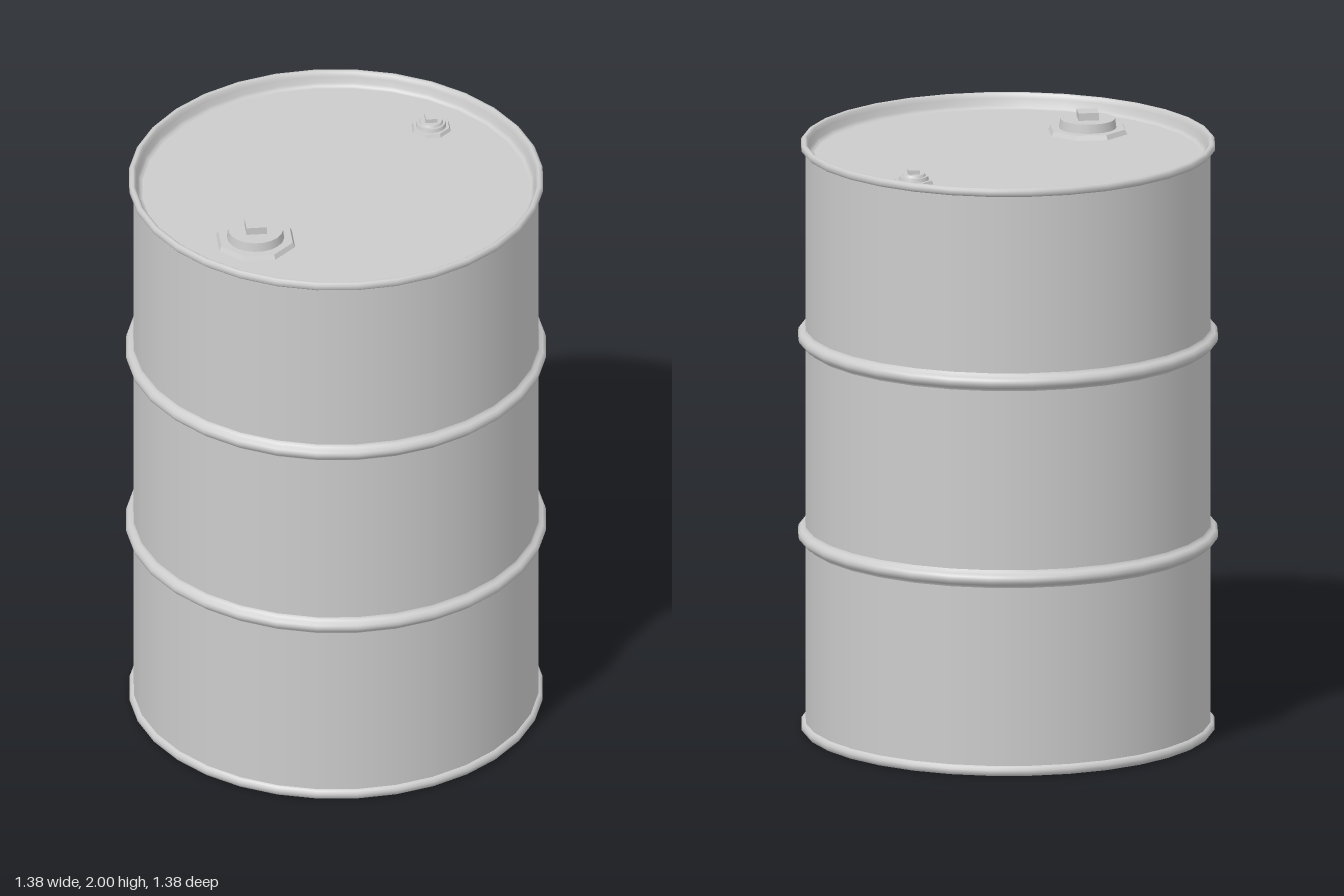
import * as THREE from 'three';

const SIDES = 32;
const BODY = 0.665;
const material = new THREE.MeshStandardMaterial({ color: 0xcccccc, side: THREE.DoubleSide });
const flatMaterial = new THREE.MeshStandardMaterial({ color: 0xcccccc, flatShading: true });

// Turned part from [radius, height] pairs
function turned(name, pairs, sides = SIDES) {
  const points = pairs.map(([r, y]) => new THREE.Vector2(r, y));
  const mesh = new THREE.Mesh(new THREE.LatheGeometry(points, sides), material);
  mesh.name = name;
  return mesh;
}

// Short prism or disc standing on height y
function prism(name, rTop, rBottom, y, height, sides, turn = 0) {
  const geometry = new THREE.CylinderGeometry(rTop, rBottom, height, sides);
  geometry.rotateY(turn);
  geometry.translate(0, y + height / 2, 0);
  const mesh = new THREE.Mesh(geometry, sides > 8 ? material : flatMaterial);
  mesh.name = name;
  return mesh;
}

// Rounded bulge around the wall at height y
function hoop(y) {
  const pairs = [[BODY, y - 0.03]];
  for (let i = 0; i <= 6; i++) {
    const a = -Math.PI / 2 + (i / 6) * Math.PI;
    pairs.push([BODY + 0.004 + 0.021 * Math.cos(a), y + 0.021 * Math.sin(a)]);
  }
  pairs.push([BODY, y + 0.03]);
  return turned('rollingHoop', pairs);
}

export function createModel() {
  const drum = new THREE.Group();
  drum.name = 'drum';
  const lidY = 1.93;
  const hoopHeights = [0.663, 1.326];

  // Wall sections between the hoops
  const levels = [0.03, ...hoopHeights, 1.955];
  for (let i = 0; i < 3; i++) {
    const low = levels[i] + (i > 0 ? 0.03 : 0);
    const high = levels[i + 1] - (i < 2 ? 0.03 : 0);
    drum.add(turned('wall', [[BODY, low], [BODY, high]]));
  }
  hoopHeights.forEach((y) => drum.add(hoop(y)));

  // Folded rims
  drum.add(turned('bottomRim', [
    [0.654, 0.004], [0.66, 0], [0.672, 0.002], [0.679, 0.011], [0.679, 0.022], [0.673, 0.031], [BODY, 0.034],
  ]));
  drum.add(turned('topRim', [
    [BODY, 1.95], [0.674, 1.953], [0.68, 1.96], [0.68, 1.972], [0.674, 1.979], [0.666, 1.98],
    [0.66, 1.976], [0.655, 1.962], [0.65, 1.942], [0.644, 1.933], [0.636, lidY],
  ]));

  // End plates
  drum.add(turned('bottom', [[0, 0.004], [0.654, 0.004]]));
  drum.add(turned('lid', [[0.636, lidY], [0, lidY]]));

  // Large bung
  const bung = new THREE.Group();
  bung.name = 'largeBung';
  bung.position.set(0, lidY, 0.417);
  bung.add(
    prism('flange', 0.127, 0.135, 0, 0.015, 8, Math.PI / 8),
    prism('plug', 0.09, 0.094, 0.015, 0.03, 20),
    prism('squareHead', 0.047, 0.047, 0.045, 0.025, 4),
  );
  drum.add(bung);

  // Small vent bung
  const vent = new THREE.Group();
  vent.name = 'smallBung';
  vent.position.set(0, lidY, -0.493);
  vent.add(
    prism('flange', 0.062, 0.067, 0, 0.012, 8, Math.PI / 8),
    prism('collar', 0.047, 0.05, 0.012, 0.012, 16),
    prism('plug', 0.036, 0.04, 0.024, 0.008, 16),
    prism('squareHead', 0.027, 0.027, 0.032, 0.014, 4),
  );
  drum.add(vent);

  return drum;
}
